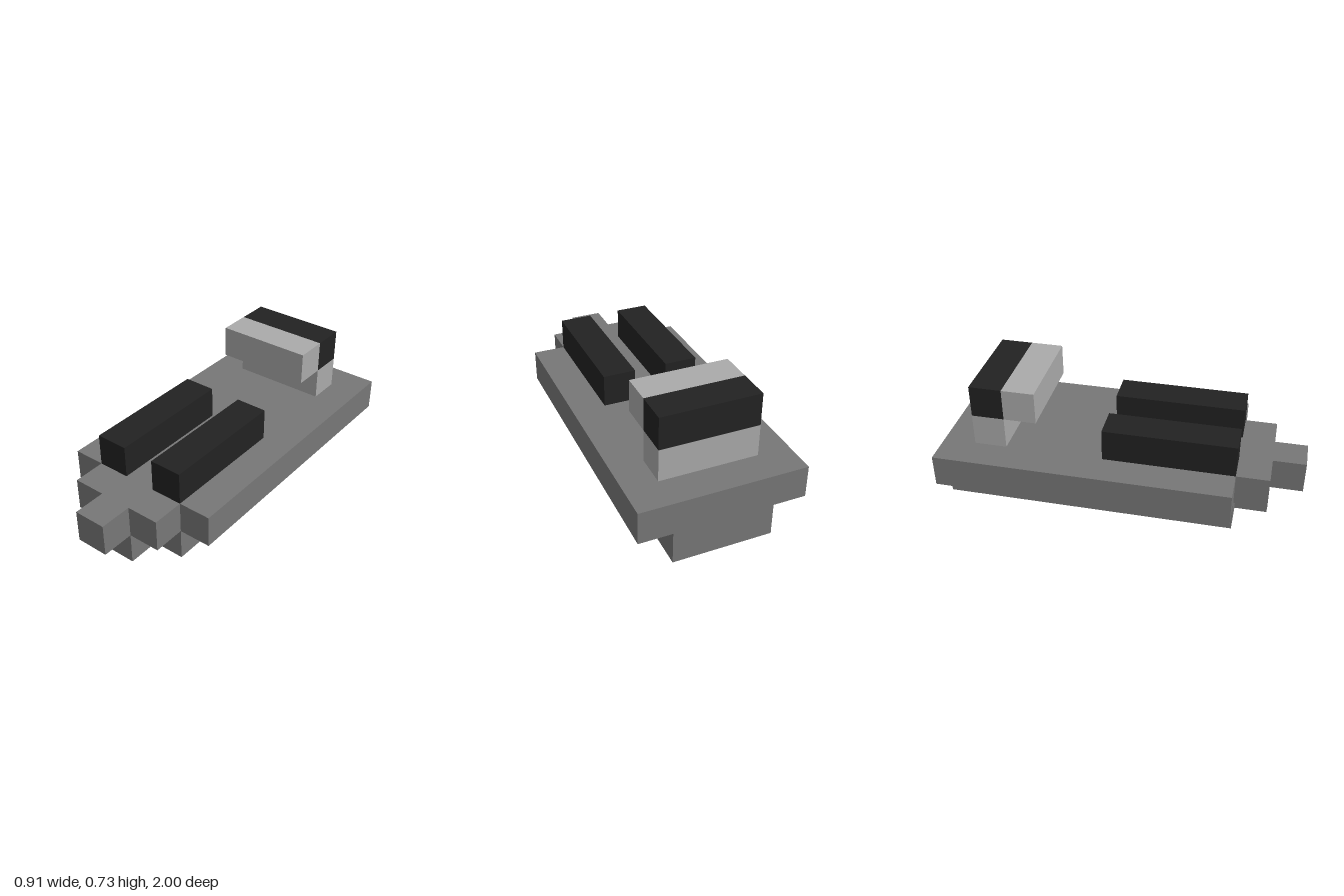
import * as THREE from 'three';

const U = 2 / 11; // one block
const BACK = -1;

export function createModel() {
  const group = new THREE.Group();
  const hullGrey = new THREE.MeshStandardMaterial({ name: 'hullGrey', color: 0x777777 });
  const lightGrey = new THREE.MeshStandardMaterial({ name: 'lightGrey', color: 0xaaaaaa });
  const nearBlack = new THREE.MeshStandardMaterial({ name: 'nearBlack', color: 0x222222 });

  const add = (name, geometry, material) => {
    const mesh = new THREE.Mesh(geometry, material);
    mesh.name = name;
    group.add(mesh);
  };

  // Slab with a bow that narrows in steps; steps are [half width, front end] in blocks
  const slab = (name, steps, y) => {
    const side = [[steps[0][0], 0]];
    steps.forEach(([w, z], i) => {
      side.push([w, z]);
      if (steps[i + 1]) side.push([steps[i + 1][0], z]);
    });
    const outline = [...side, ...side.map(([x, z]) => [-x, z]).reverse()];
    const shape = new THREE.Shape(outline.map(([x, z]) => new THREE.Vector2(x * U, z * U + BACK)));
    const geometry = new THREE.ExtrudeGeometry(shape, { depth: U, bevelEnabled: false });
    geometry.rotateX(Math.PI / 2).translate(0, (y + 1) * U, 0);
    add(name, geometry, hullGrey);
  };

  // Box one block high, given by its ranges in blocks
  const block = (name, x0, x1, y, z0, z1, material) => {
    const geometry = new THREE.BoxGeometry((x1 - x0) * U, U, (z1 - z0) * U);
    geometry.translate((x0 + x1) / 2 * U, (y + 0.5) * U, (z0 + z1) / 2 * U + BACK);
    add(name, geometry, material);
  };

  // Hull
  slab('lowerHull', [[1.5, 9], [0.5, 10]], 0);
  slab('deck', [[2.5, 9], [1.5, 10], [0.5, 11]], 1);

  // Dark strips along the deck
  block('leftDeckStrip', 0.5, 1.5, 2, 5, 9, nearBlack);
  block('rightDeckStrip', -1.5, -0.5, 2, 5, 9, nearBlack);

  // Tower with an overhanging front
  block('towerBase', -1.5, 1.5, 2, 1, 2, lightGrey);
  block('towerRear', -1.5, 1.5, 3, 1, 2, nearBlack);
  block('towerFront', -1.5, 1.5, 3, 2, 3, lightGrey);

  return group;
}
